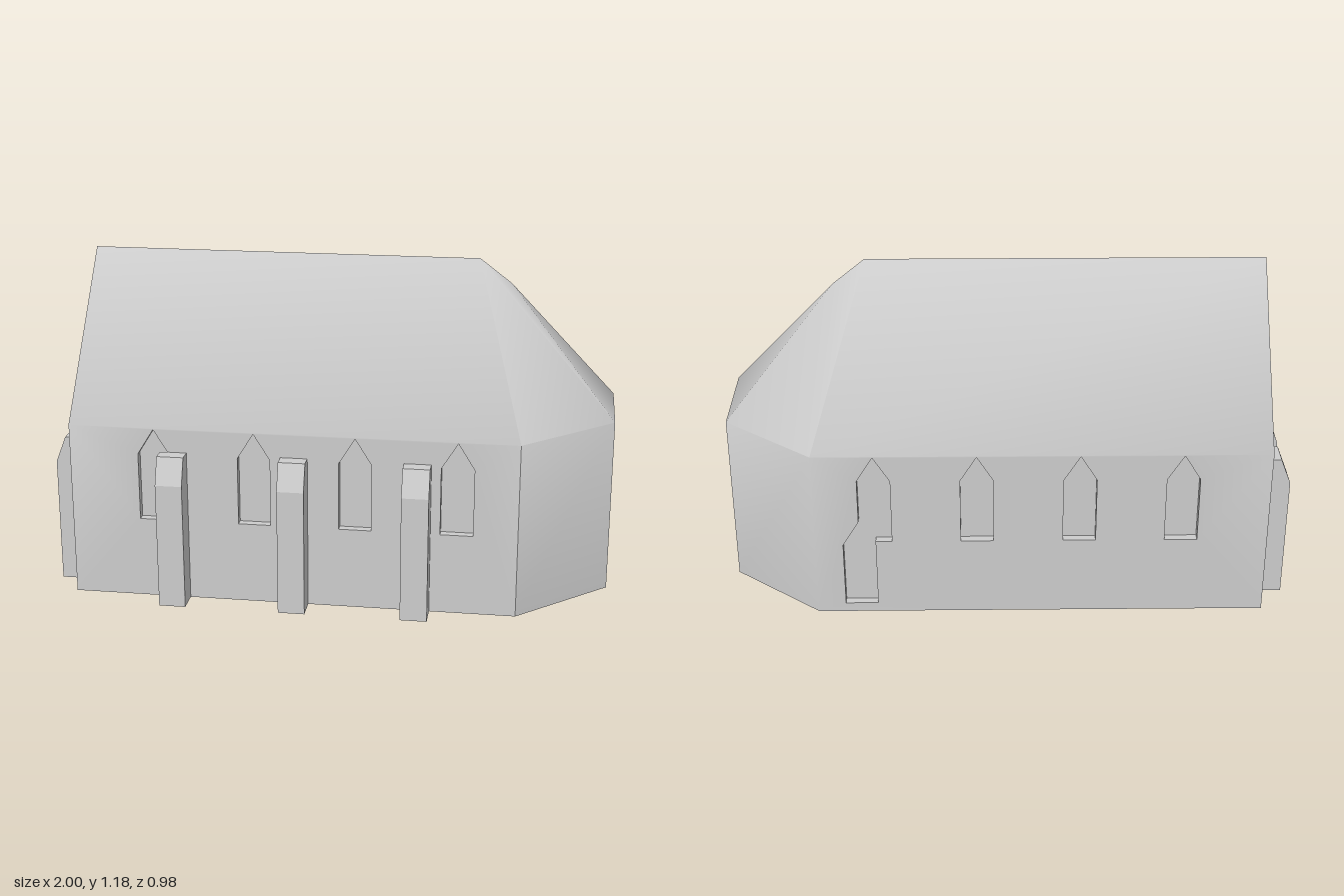
import * as THREE from 'three';
import { toCreasedNormals } from 'three/addons/utils/BufferGeometryUtils.js';

const V = (x, y, z) => new THREE.Vector3(x, y, z);
const P = (x, y) => new THREE.Vector2(x, y);

const WEST = -0.91, EAST = 0.68, FRONT = 0.405, BACK = -0.49, EAVE = 0.637;
const NICHE_DEPTH = 0.03;

// Pointed window outline, counter-clockwise, centred on x
function lancet(x) {
  const w = 0.0575;
  return [P(x - w, 0.295), P(x + w, 0.295), P(x + w, 0.54), P(x, 0.633), P(x - w, 0.54)];
}

// Window joined with a lower, offset pointed doorway
function windowWithDoor(x) {
  const w = 0.0575;
  return [P(x - w, 0.295), P(x, 0.295), P(x, 0.035), P(x + 2 * w, 0.035), P(x + 2 * w, 0.28),
    P(x + w, 0.375), P(x + w, 0.54), P(x, 0.633), P(x - w, 0.54)];
}

function buildChapel() {
  const pos = [];
  const tri = (a, b, c) => { for (const p of [a, b, c]) pos.push(p.x, p.y, p.z); };
  const fan = (...p) => { for (let i = 1; i < p.length - 1; i++) tri(p[0], p[i], p[i + 1]); };

  // Long wall with recessed niches; side is 1 for front, -1 for back
  function longWall(z, side, niches) {
    const face = (a, b, c) => (side > 0 ? tri(a, b, c) : tri(a, c, b));
    const fill = (outline, holes, depth) => {
      const all = [outline, ...holes].flat();
      for (const f of THREE.ShapeUtils.triangulateShape(outline, holes)) {
        face(...f.map((i) => V(all[i].x, all[i].y, depth)));
      }
    };
    const inner = z - side * NICHE_DEPTH;
    const outline = [P(WEST, 0), P(EAST, 0), P(EAST, EAVE), P(WEST, EAVE)];
    fill(outline, niches.map((n) => [...n].reverse()), z);
    for (const n of niches) {
      fill(n, [], inner);
      n.forEach((a, i) => {
        const b = n[(i + 1) % n.length];
        const [aF, bF] = [V(a.x, a.y, z), V(b.x, b.y, z)];
        const [aB, bB] = [V(a.x, a.y, inner), V(b.x, b.y, inner)];
        face(aF, bF, bB);
        face(aF, bB, aB);
      });
    }
  }
  const centres = [-0.605, -0.248, 0.11, 0.467];
  longWall(FRONT, 1, centres.map(lancet));
  longWall(BACK, -1, centres.map((x, i) => (i === 3 ? windowWithDoor(x) : lancet(x))));

  // Plan corners, counter-clockwise from above
  const plan = [[WEST, FRONT], [EAST, FRONT], [1, 0.11], [1, -0.235], [EAST, BACK], [WEST, BACK]];
  const base = plan.map(([x, z]) => V(x, 0, z));
  const eave = plan.map(([x, z]) => V(x, EAVE, z));
  const ridgeWest = V(WEST, 1.18, -0.045);
  const ridgeEast = V(0.5, 1.18, -0.045);
  const peak = V(0.615, 1.09, -0.055);

  // Apse walls, gable end and floor
  for (let i = 1; i < 4; i++) fan(base[i], base[i + 1], eave[i + 1], eave[i]);
  fan(base[5], base[0], eave[0], ridgeWest, eave[5]);
  fan(...[...base].reverse());

  // Roof slopes and apse roof
  fan(eave[0], eave[1], ridgeEast, ridgeWest);
  tri(eave[1], eave[2], ridgeEast);
  tri(eave[2], peak, ridgeEast);
  tri(eave[2], eave[3], peak);
  tri(eave[3], eave[4], peak);
  tri(eave[4], ridgeEast, peak);
  fan(eave[4], eave[5], ridgeWest, ridgeEast);

  const geo = new THREE.BufferGeometry();
  geo.setAttribute('position', new THREE.Float32BufferAttribute(pos, 3));
  return toCreasedNormals(geo, THREE.MathUtils.degToRad(41));
}

// Buttress with a sloped cap, projecting along +z from the wall
function buttressGeometry(width) {
  const profile = new THREE.Shape([P(0, 0), P(0.087, 0), P(0.087, 0.457), P(0.05, 0.552), P(0, 0.552)]);
  const geo = new THREE.ExtrudeGeometry(profile, { depth: width, bevelEnabled: false });
  geo.translate(0, 0, -width / 2);
  geo.rotateY(-Math.PI / 2);
  return geo;
}

export function createModel() {
  const model = new THREE.Group();
  model.name = 'chapel';
  const stone = new THREE.MeshStandardMaterial({ color: 0xcccccc });
  stone.name = 'stone';

  const add = (geo, name) => {
    const mesh = new THREE.Mesh(geo, stone);
    mesh.name = name;
    model.add(mesh);
    return mesh;
  };

  add(buildChapel(), 'wallsAndRoof');

  const buttress = buttressGeometry(0.095);
  for (const x of [-0.535, -0.105, 0.328]) {
    add(buttress, 'frontButtress').position.set(x, 0, FRONT);
  }
  for (const z of [-0.332, -0.042, 0.25]) {
    const b = add(buttress, 'gableButtress');
    b.position.set(WEST, 0, z);
    b.rotation.y = -Math.PI / 2;
  }
  return model;
}
